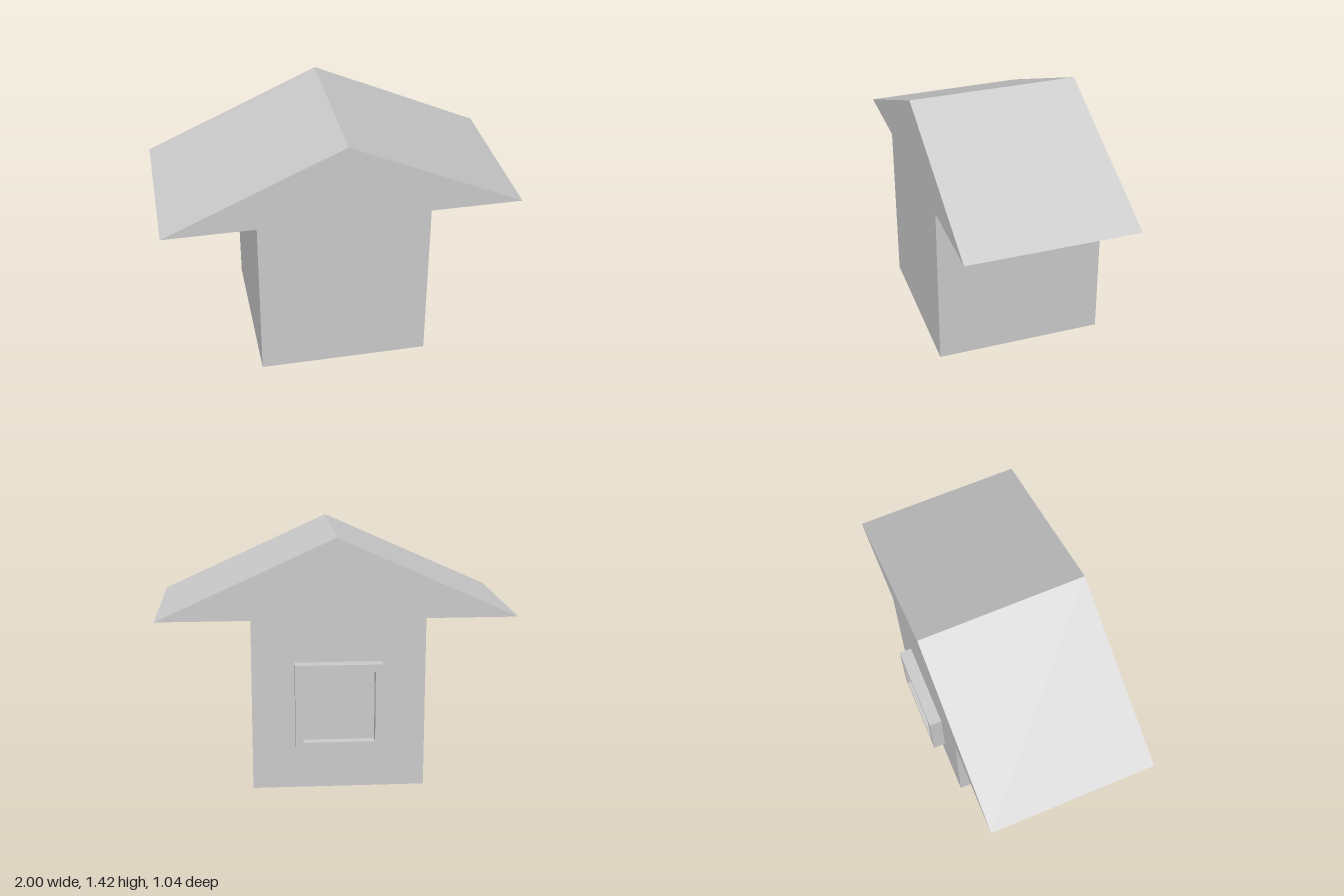
import * as THREE from 'three';

const BACK = -0.447, FRONT = 0.518;

export function createModel() {
  const group = new THREE.Group();
  const material = new THREE.MeshStandardMaterial({ color: 0xcccccc, flatShading: true });

  const add = (name, geometry, x, y, z) => {
    const mesh = new THREE.Mesh(geometry, material);
    mesh.name = name;
    mesh.position.set(x, y, z);
    group.add(mesh);
  };
  const extrude = (shape, depth) => new THREE.ExtrudeGeometry(shape, { depth, bevelEnabled: false });
  const square = (h) => [[-h, -h], [h, -h], [h, h], [-h, h]].map(([x, y]) => new THREE.Vector2(x, y));

  // Square house body
  const depth = FRONT - BACK;
  add('walls', new THREE.BoxGeometry(0.966, 0.97, depth), -0.004, 0.485, (FRONT + BACK) / 2);

  // Solid gable roof with wide eaves
  const gable = new THREE.Shape([
    new THREE.Vector2(-1, 0.97), new THREE.Vector2(1, 0.97), new THREE.Vector2(0.008, 1.42),
  ]);
  add('roof', extrude(gable, depth), 0, 0, BACK);

  // Square window on the back wall: raised frame around a recessed pane
  const outer = 0.243, inner = 0.2, frameDepth = 0.071, paneDepth = 0.016;
  const frame = new THREE.Shape(square(outer));
  frame.holes.push(new THREE.Path(square(inner).reverse()));
  add('windowFrame', extrude(frame, frameDepth), -0.002, 0.487, BACK - frameDepth);
  add('windowPane', new THREE.BoxGeometry(inner * 2, inner * 2, paneDepth), -0.002, 0.487, BACK - paneDepth / 2);

  return group;
}
